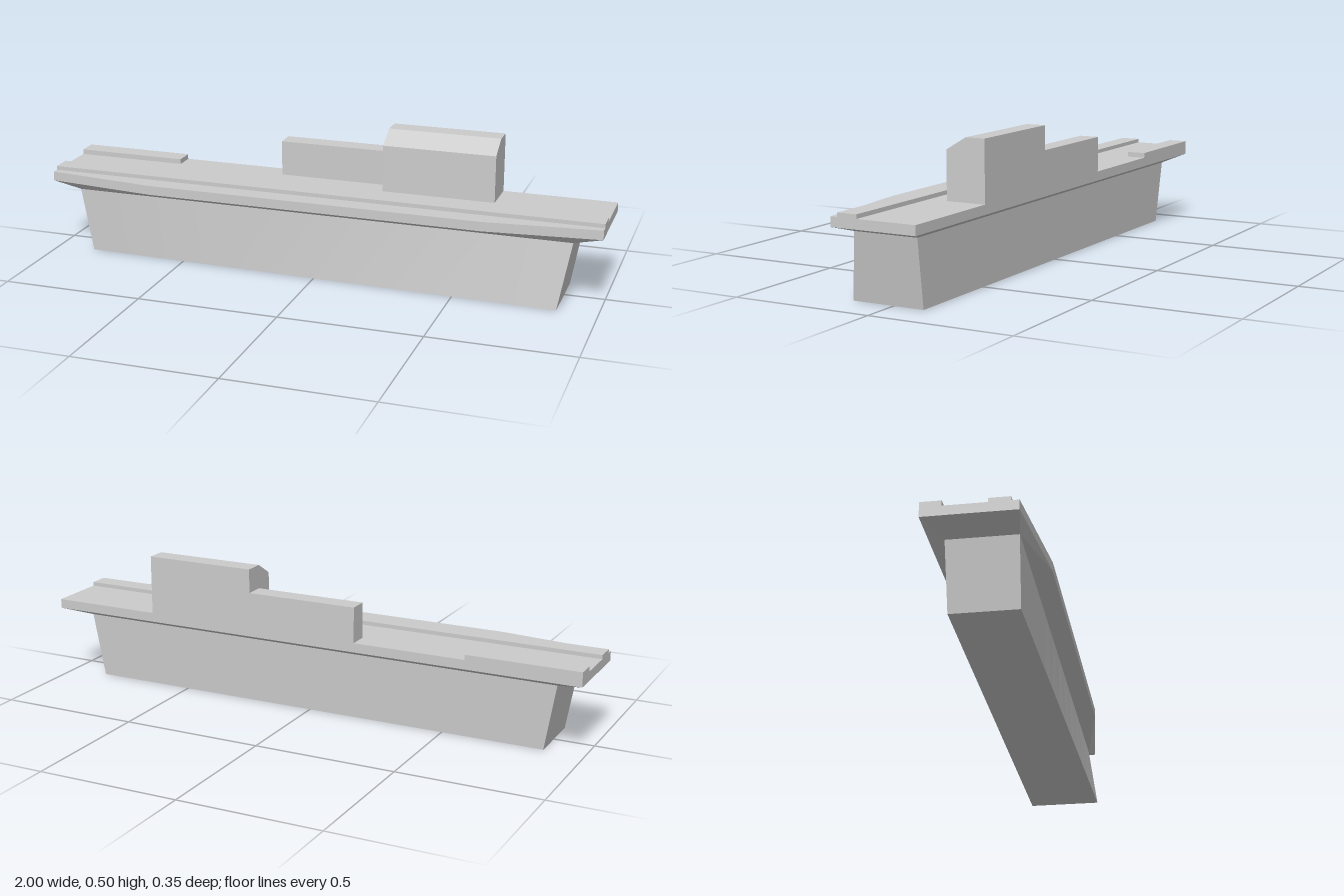
import * as THREE from 'three';

const material = new THREE.MeshStandardMaterial({ color: 0xcccccc, flatShading: true });
const N = 12; // segments along the front edge

// Horizontal outline, anticlockwise from above: front edge, then right side, back, left side
function ring(y, frontX, frontZLeft, frontZRight, sideX, sideZ, backZ) {
  const pts = [];
  for (let i = 0; i <= N; i++) {
    const t = i / N;
    pts.push([-frontX + 2 * frontX * t, y, frontZLeft + (frontZRight - frontZLeft) * t]);
  }
  pts.push([sideX, y, sideZ[1]], [sideX, y, backZ], [-sideX, y, backZ], [-sideX, y, sideZ[0]]);
  return pts;
}

// Skin between two outlines, with optional end caps
function loft(name, lower, upper, capBottom, capTop) {
  const pos = [];
  const tri = (a, b, c) => pos.push(...a, ...b, ...c);
  const n = lower.length;
  for (let i = 0; i < n; i++) {
    const j = (i + 1) % n;
    tri(lower[i], lower[j], upper[j]);
    tri(lower[i], upper[j], upper[i]);
  }
  const hub = N + 2; // fan from a back corner
  for (let k = 1; k < n - 1; k++) {
    const a = (hub + k) % n, b = (hub + k + 1) % n;
    if (capTop) tri(upper[hub], upper[a], upper[b]);
    if (capBottom) tri(lower[hub], lower[b], lower[a]);
  }
  const geo = new THREE.BufferGeometry();
  geo.setAttribute('position', new THREE.Float32BufferAttribute(pos, 3));
  geo.computeVertexNormals();
  const mesh = new THREE.Mesh(geo, material);
  mesh.name = name;
  return mesh;
}

function box(name, x0, x1, y0, y1, z0, z1) {
  const mesh = new THREE.Mesh(new THREE.BoxGeometry(x1 - x0, y1 - y0, z1 - z0), material);
  mesh.position.set((x0 + x1) / 2, (y0 + y1) / 2, (z0 + z1) / 2);
  mesh.name = name;
  return mesh;
}

export function createModel() {
  const group = new THREE.Group();
  group.name = 'platform';
  const deckY = 0.291, back = -0.174;

  // Tapered base with a slightly twisted front, flaring out to the deck
  const foot = ring(0, 0.86, 0.113, 0.15, 0.86, [0.113, 0.15], -0.109);
  const neck = ring(0.231, 0.9, 0.115, 0.115, 0.9, [0.115, 0.115], -0.115);
  const deckLow = ring(0.258, 0.6, 0.174, 0.174, 1, [0.13, 0.13], back);
  const deckTop = ring(deckY, 0.6, 0.174, 0.174, 1, [0.13, 0.13], back);
  group.add(
    loft('base', foot, neck, true, false),
    loft('flare', neck, deckLow, false, false),
    loft('deck', deckLow, deckTop, false, true)
  );

  // Raised parts on the deck
  group.add(
    box('frontRail', -1, 1, deckY, 0.305, 0.035, 0.105),
    box('backLedge', -1, -0.6, deckY, 0.309, back, -0.105),
    box('lowBlock', -0.2, 0.2, deckY, 0.416, back, -0.105)
  );

  // Tall block with a sloped front roof, profile drawn in (z, y) and extruded along x
  const profile = new THREE.Shape([
    [0.174, deckY], [0.034, deckY], [0.034, 0.457], [0.105, 0.5], [0.174, 0.5]
  ].map(([z, y]) => new THREE.Vector2(z, y)));
  const geo = new THREE.ExtrudeGeometry(profile, { depth: 0.4, bevelEnabled: false });
  geo.rotateY(Math.PI / 2); // profile x becomes -z, depth becomes +x
  const tall = new THREE.Mesh(geo, material);
  tall.position.x = 0.2;
  tall.name = 'tallBlock';
  group.add(tall);

  return group;
}
